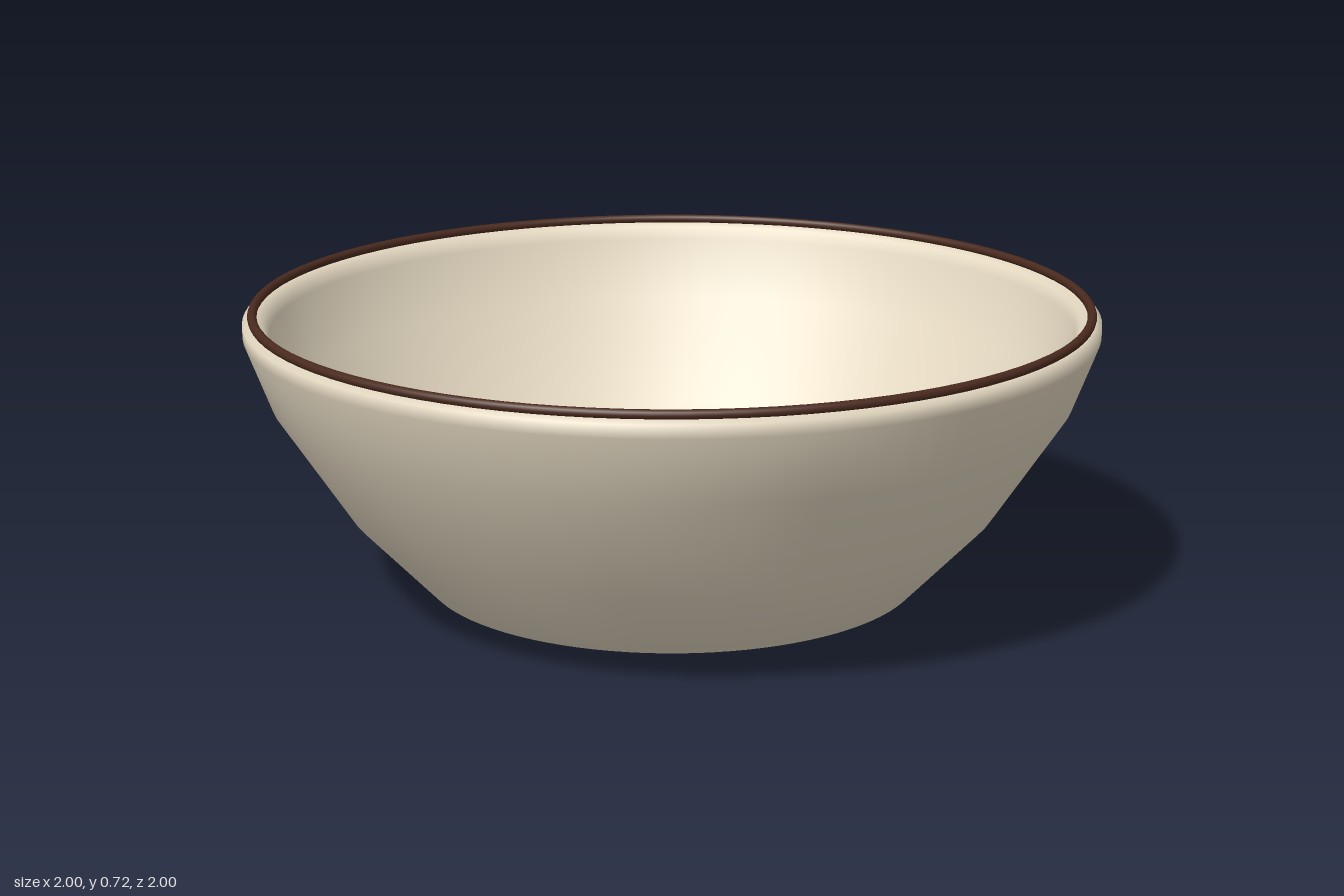
import * as THREE from 'three';

export function createModel() {
  const model = new THREE.Group();
  model.name = 'bowl';

  // Closed wall profile: underside, outer wall, lip, inner wall, inner floor
  const profile = [
    [0, 0], [0.45, 0], [0.59, 0.05], [0.77, 0.24], [0.94, 0.5], [1, 0.66], [1, 0.69],
    [0.98, 0.7], [0.95, 0.69], [0.94, 0.66], [0.89, 0.51], [0.73, 0.27], [0.56, 0.1],
    [0.43, 0.06], [0, 0.06],
  ].map(([r, y]) => new THREE.Vector2(r, y));
  const body = new THREE.Mesh(
    new THREE.LatheGeometry(profile, 96),
    new THREE.MeshStandardMaterial({ color: 0xe6dac3 })
  );
  body.name = 'bowlBody';

  // Thin dark band along the top of the lip
  const rim = new THREE.Mesh(
    new THREE.TorusGeometry(0.977, 0.011, 10, 96),
    new THREE.MeshStandardMaterial({ color: 0x4a2a1e })
  );
  rim.name = 'rimBand';
  rim.rotation.x = Math.PI / 2;
  rim.position.y = 0.706;

  model.add(body, rim);
  return model;
}
